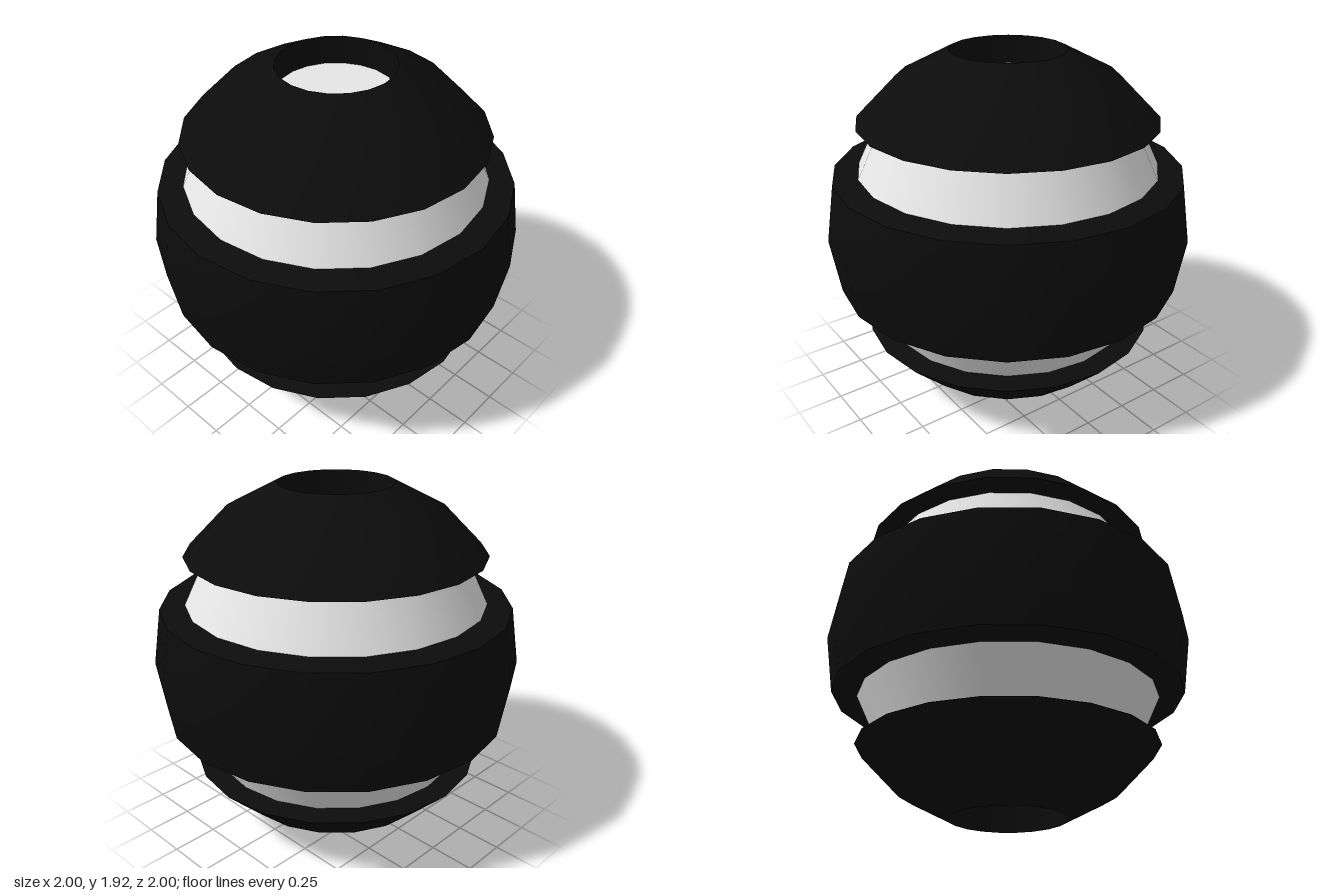
import * as THREE from 'three';

const SIDES = 20;
const MID = 0.958;   // height of the equator
const TALL = 1.007;  // slight vertical stretch

export function createModel() {
  const model = new THREE.Group();
  model.name = 'bandedSphere';

  const black = new THREE.MeshStandardMaterial({ color: 0x0c0c0c });
  black.name = 'black';
  const white = new THREE.MeshStandardMaterial({ color: 0xe7e7e7 });
  white.name = 'white';

  // Ring of the sphere, counted in 18 degree steps up from the equator
  const ring = (k) => [Math.cos(k * Math.PI / 10), TALL * Math.sin(k * Math.PI / 10)];

  // Revolve [radius, height above the equator] points, listed so faces look outward
  function revolve(parent, name, points, material) {
    const profile = points.map(([r, y]) => new THREE.Vector2(r, y));
    const mesh = new THREE.Mesh(new THREE.LatheGeometry(profile, SIDES), material);
    mesh.name = name;
    parent.add(mesh);
  }

  function part(name) {
    const group = new THREE.Group();
    group.name = name;
    group.position.y = MID;
    model.add(group);
    return group;
  }

  const beltInner = [0.816, 0.328];  // groove floor beside the belt
  const capInner = [0.693, 0.583];   // groove floor beside the cap
  const rim = ring(4);
  const floorY = rim[1] - 0.155;     // bottom of the polar recess

  // Wide belt around the equator
  const belt = part('belt');
  revolve(belt, 'beltSurface', [ring(-1), ring(0), ring(1)], black);

  // Upper and lower halves mirror each other
  for (const s of [1, -1]) {
    const side = s > 0 ? 'upper' : 'lower';
    // Mirroring in y also reverses the profile, which keeps faces outward
    const half = (pts) => s > 0 ? pts : pts.map(([r, y]) => [r, -y]).reverse();

    revolve(belt, side + 'BeltEdge', half([ring(1), beltInner]), black);

    const groove = part(side + 'Groove');
    revolve(groove, side + 'GrooveBand', half([beltInner, capInner]), white);

    const cap = part(side + 'Cap');
    revolve(cap, side + 'CapEdge', half([capInner, ring(2)]), black);
    revolve(cap, side + 'CapSurface', half([ring(2), ring(3), rim]), black);
    revolve(cap, side + 'HoleWall', half([rim, [rim[0], floorY]]), black);
    revolve(cap, side + 'HoleFloor', half([[rim[0], floorY], [0, floorY]]), white);
  }

  return model;
}
